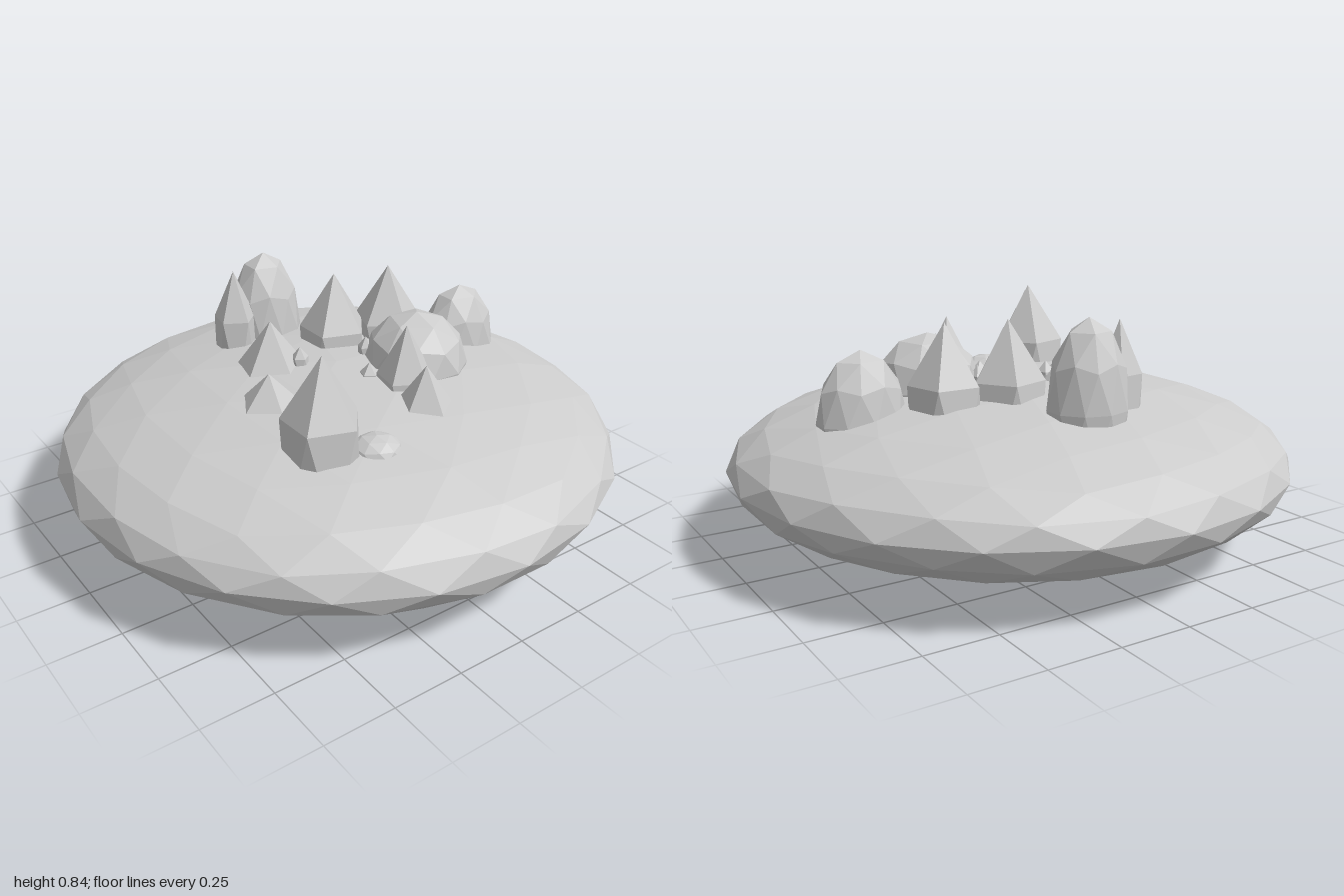
import * as THREE from 'three';

// Icosphere with a vertex pointing up; each level splits every face in four
function icosphere(level) {
  const geo = new THREE.IcosahedronGeometry(1, 0);
  geo.rotateZ(-Math.atan(2 / (1 + Math.sqrt(5))));
  const p = geo.attributes.position;
  let points = [];
  for (let i = 0; i < p.count; i++) points.push(new THREE.Vector3().fromBufferAttribute(p, i));
  const middle = (a, b) => a.clone().add(b).normalize();
  for (let n = 0; n < level; n++) {
    const next = [];
    for (let i = 0; i < points.length; i += 3) {
      const [a, b, c] = points.slice(i, i + 3);
      const ab = middle(a, b), bc = middle(b, c), ca = middle(c, a);
      next.push(a, ab, ca, ab, b, bc, ca, bc, c, ab, bc, ca);
    }
    points = next;
  }
  const result = new THREE.BufferGeometry().setFromPoints(points);
  result.computeVertexNormals();
  return result;
}

export function createModel() {
  const group = new THREE.Group();
  const stone = new THREE.MeshStandardMaterial({ color: 0xcccccc, flatShading: true });
  stone.name = 'grey stone';
  const shapes = [icosphere(0), icosphere(1), icosphere(2)];

  function add(name, level, [x, y, z], [rx, ry, rz], degrees = 0) {
    const mesh = new THREE.Mesh(shapes[level], stone);
    mesh.name = name;
    mesh.position.set(x, y, z);
    mesh.scale.set(rx, ry, rz);
    mesh.rotation.y = -THREE.MathUtils.degToRad(degrees);
    group.add(mesh);
  }

  // Flattened ground mound
  add('mound', 2, [0, 0.287, 0], [1, 0.287, 1]);

  // Pointed crystals: x, z, tip height, shoulder height, radius, turn
  const crystals = [
    [-0.33, 0.39, 0.835, 0.62, 0.15, 0],
    [-0.33, 0.08, 0.65, 0.52, 0.14, 25],
    [-0.185, -0.14, 0.725, 0.55, 0.142, 15],
    [0.13, -0.2, 0.815, 0.61, 0.142, 0],
    [0.345, -0.155, 0.815, 0.61, 0.14, 20],
    [-0.165, -0.42, 0.82, 0.64, 0.088, 10],
    [0.125, 0.235, 0.765, 0.58, 0.112, 10],
    [0.095, 0.38, 0.68, 0.51, 0.13, 20],
  ];
  for (const [x, z, tip, shoulder, r, turn] of crystals) {
    const ry = (tip - shoulder) / 0.553;
    add('crystal', 0, [x, tip - ry, z], [r, ry, r], turn);
  }

  // Tiny shards poking through the ground: x, z, tip height, radius
  const shards = [
    [-0.12, 0.085, 0.6, 0.045],
    [0.14, -0.015, 0.63, 0.032],
    [0.045, 0.135, 0.61, 0.038],
    [-0.105, -0.075, 0.63, 0.035],
  ];
  for (const [x, z, tip, r] of shards) add('shard', 0, [x, tip - 0.07, z], [r, 0.07, r], 15);

  // Rounded boulders
  add('largeBoulder', 1, [0.27, 0.55, 0.11], [0.187, 0.187, 0.187], 20);
  add('sideBoulder', 1, [0.583, 0.49, -0.02], [0.157, 0.237, 0.115]);
  add('tallBoulder', 1, [-0.005, 0.55, -0.47], [0.142, 0.295, 0.126]);
  add('flatBoulder', 1, [-0.185, 0.5, 0.48], [0.09, 0.055, 0.085], 10);

  return group;
}
